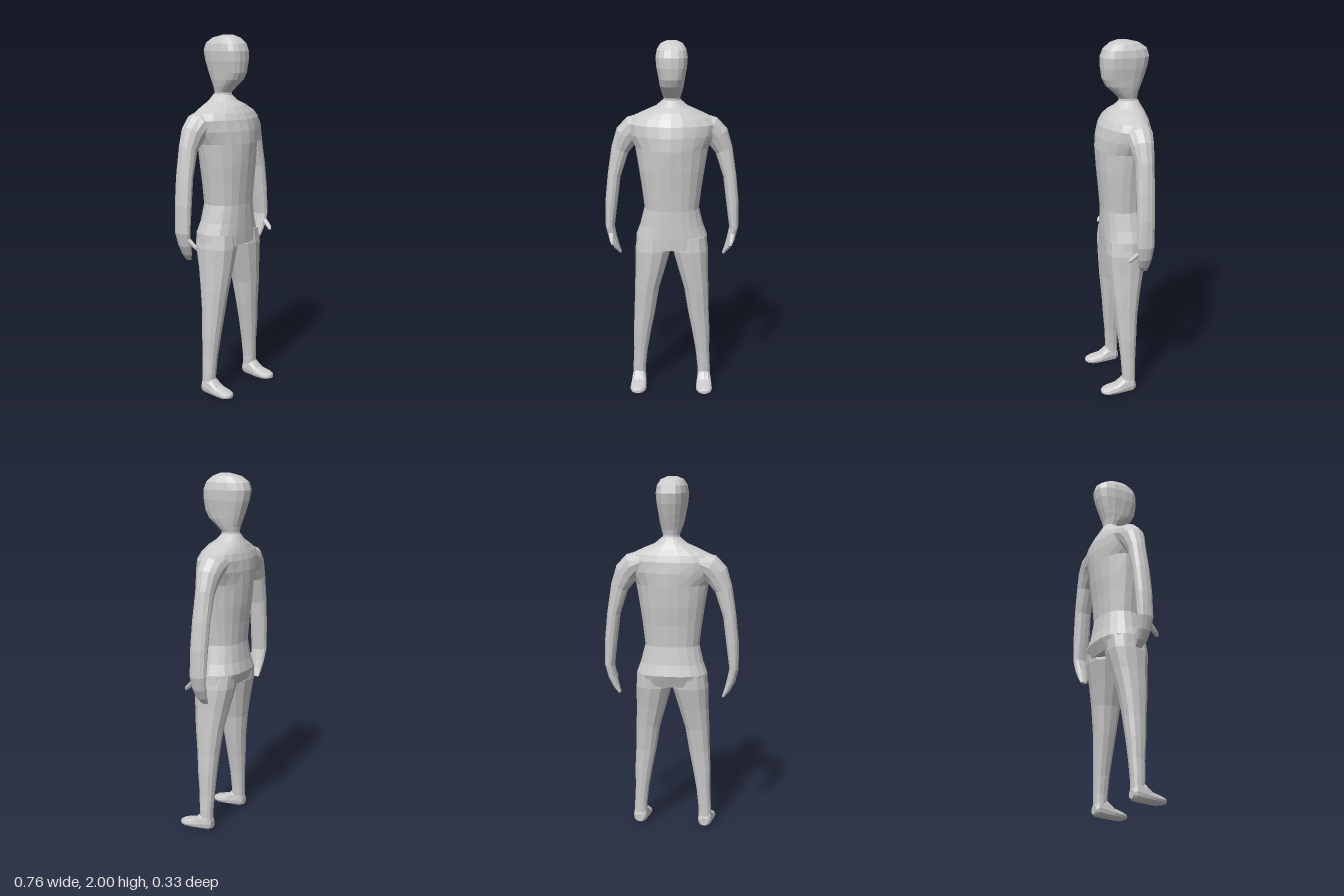
import * as THREE from 'three';

const material = new THREE.MeshStandardMaterial({ color: 0xcccccc, flatShading: true });

// Skins closed rings, listed bottom to top.
// Section: [x, y, zMid, halfWidth, zFront, zBack, roundness = 2, tilt = 0]
function loft(name, sections, sides = 14, mirror = 1) {
  const pos = [], index = [];
  const pow = (v, n) => Math.sign(v) * Math.abs(v) ** (2 / n);
  for (const [x, y, z, r, zf, zb, n = 2, tilt = 0] of sections) {
    for (let i = 0; i < sides; i++) {
      const a = (i / sides) * Math.PI * 2;
      const u = r * pow(Math.cos(a), n), s = pow(Math.sin(a), n);
      pos.push(mirror * (x + u * Math.cos(tilt)), y + u * Math.sin(tilt),
        z + s * (s > 0 ? zf - z : z - zb));
    }
  }
  const tri = (a, b, c) => (mirror > 0 ? index.push(a, b, c) : index.push(a, c, b));
  const last = sections.length - 1;
  for (let k = 0; k < last; k++) {
    for (let i = 0; i < sides; i++) {
      const j = (i + 1) % sides, a = k * sides + i, b = k * sides + j;
      tri(a, a + sides, b);
      tri(b, a + sides, b + sides);
    }
  }
  // End caps
  for (let i = 1; i < sides - 1; i++) {
    tri(0, i, i + 1);
    tri(last * sides, last * sides + i + 1, last * sides + i);
  }
  const geometry = new THREE.BufferGeometry();
  geometry.setAttribute('position', new THREE.Float32BufferAttribute(pos, 3));
  geometry.setIndex(index);
  geometry.computeVertexNormals();
  const mesh = new THREE.Mesh(geometry, material);
  mesh.name = name;
  return mesh;
}

const HEAD = [
  [0, 1.64, -0.05, 0.052, 0.01, -0.105],
  [0, 1.69, -0.045, 0.046, 0.005, -0.095],
  [0, 1.72, -0.03, 0.056, 0.035, -0.1, 2.2],
  [0, 1.76, -0.01, 0.066, 0.08, -0.115, 2.4],
  [0, 1.8, 0, 0.072, 0.1, -0.13, 2.5],
  [0, 1.86, 0.01, 0.083, 0.107, -0.15, 2.5],
  [0, 1.915, 0.01, 0.087, 0.106, -0.161, 2.5],
  [0, 1.955, 0.005, 0.08, 0.09, -0.148, 2.5],
  [0, 1.985, -0.005, 0.062, 0.055, -0.105, 2.4],
  [0, 2, -0.01, 0.03, 0.02, -0.045],
];

const TORSO = [
  [0, 0.855, -0.015, 0.203, 0.108, -0.125, 2.5],
  [0, 0.92, -0.02, 0.2, 0.11, -0.152, 2.3],
  [0, 0.98, -0.015, 0.178, 0.11, -0.138, 2.2],
  [0, 1.08, -0.01, 0.153, 0.11, -0.125, 2.2],
  [0, 1.2, -0.01, 0.168, 0.12, -0.135, 2.1],
  [0, 1.3, -0.01, 0.183, 0.13, -0.15, 2],
  [0, 1.42, -0.02, 0.203, 0.14, -0.161, 1.8],
  [0, 1.49, -0.035, 0.245, 0.135, -0.164, 1.7],
  [0, 1.55, -0.045, 0.262, 0.12, -0.158, 1.7],
  [0, 1.585, -0.05, 0.225, 0.1, -0.147, 1.8],
  [0, 1.62, -0.05, 0.15, 0.072, -0.132, 1.9],
  [0, 1.645, -0.05, 0.09, 0.035, -0.118],
  [0, 1.68, -0.05, 0.048, 0.003, -0.1],
];

const ARM = [
  [0.294, 0.797, -0.052, 0.007, -0.032, -0.073, 2, -0.5],
  [0.316, 0.835, -0.045, 0.017, -0.012, -0.078, 2, -0.5],
  [0.336, 0.885, -0.042, 0.024, -0.002, -0.085, 2, -0.25],
  [0.352, 0.955, -0.045, 0.026, 0.005, -0.092, 2.2],
  [0.342, 1.1, -0.045, 0.035, 0.004, -0.096, 2.2, 0.05],
  [0.325, 1.25, -0.048, 0.037, 0, -0.1, 2.2, 0.15],
  [0.29, 1.4, -0.052, 0.05, -0.003, -0.104, 2.2, 0.35],
  [0.255, 1.475, -0.05, 0.068, 0.012, -0.113, 2.2, 0.7],
  [0.215, 1.52, -0.05, 0.07, 0.025, -0.122, 2.1, 1.05],
  [0.14, 1.55, -0.05, 0.06, 0.03, -0.125, 2, 1.3],
];

const THUMB = [
  [0.332, 0.868, 0.042, 0.008, 0.05, 0.033],
  [0.337, 0.885, 0.03, 0.012, 0.047, 0.01],
  [0.345, 0.925, -0.012, 0.015, 0.005, -0.035],
];

const LEG = [
  [0.19, 0.035, 0, 0.036, 0.035, -0.034, 2.4],
  [0.188, 0.12, 0.002, 0.037, 0.041, -0.035, 2.4],
  [0.18, 0.22, 0.003, 0.04, 0.047, -0.04, 2.3],
  [0.17, 0.34, 0.004, 0.051, 0.059, -0.047, 2.3],
  [0.155, 0.46, 0.004, 0.06, 0.07, -0.055, 2.3],
  [0.142, 0.6, 0.002, 0.07, 0.086, -0.073, 2.3],
  [0.122, 0.72, -0.004, 0.085, 0.098, -0.097, 2.3],
  [0.105, 0.84, -0.01, 0.102, 0.107, -0.125, 2.4],
  [0.1, 0.92, -0.015, 0.095, 0.1, -0.13, 2.3],
];

// Foot sections run heel to toe, with -height in place of z
const FOOT = [
  [0.19, -0.036, -0.035, 0.025, -0.012, -0.06],
  [0.19, -0.02, -0.045, 0.038, -0.003, -0.1, 2.5],
  [0.19, 0.035, -0.035, 0.042, 0, -0.095, 2.5],
  [0.19, 0.075, -0.025, 0.046, 0, -0.058, 2.5],
  [0.191, 0.125, -0.02, 0.046, 0.0, -0.044, 2.5],
  [0.192, 0.152, -0.018, 0.034, -0.004, -0.037, 2.4],
  [0.192, 0.165, -0.018, 0.016, -0.009, -0.029],
];

export function createModel() {
  const model = new THREE.Group();
  model.name = 'figure';
  model.add(loft('head', HEAD, 16), loft('torso', TORSO, 20));

  // Limbs on both sides
  for (const [side, m] of [['left', 1], ['right', -1]]) {
    const foot = loft(side + 'Foot', FOOT, 12, m);
    foot.geometry.rotateX(Math.PI / 2);
    model.add(
      loft(side + 'Arm', ARM, 12, m),
      loft(side + 'Thumb', THUMB, 8, m),
      loft(side + 'Leg', LEG, 12, m),
      foot,
    );
  }
  return model;
}
